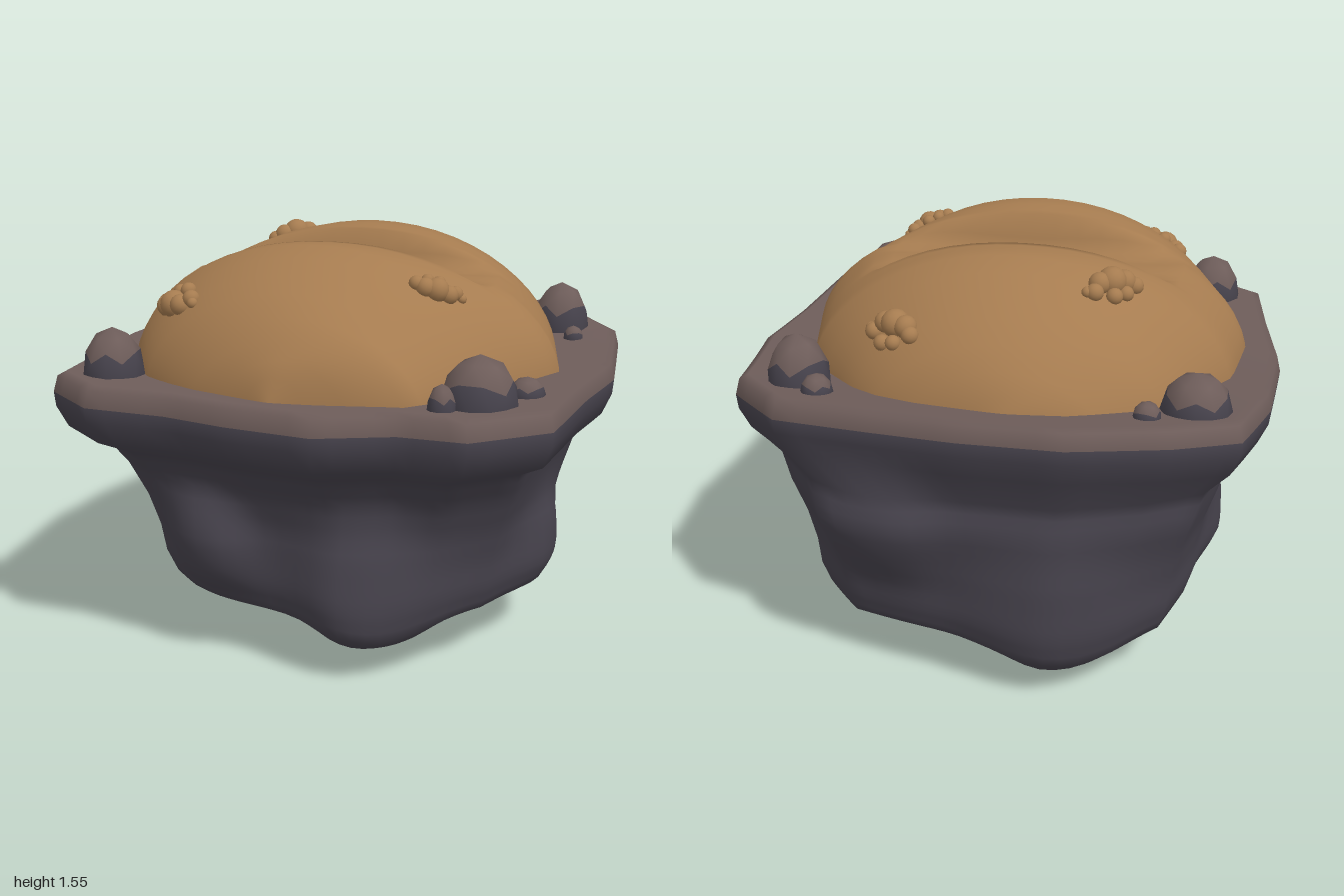
import * as THREE from 'three';
import { mergeVertices } from 'three/addons/utils/BufferGeometryUtils.js';

const mat = (name, color, extra = {}) => new THREE.MeshStandardMaterial({ name, color, ...extra });

// Build an indexed surface with smooth normals
function surface(points, index) {
  const g = new THREE.BufferGeometry();
  g.setAttribute('position', new THREE.Float32BufferAttribute(points, 3));
  g.setIndex(index);
  g.computeVertexNormals();
  return g;
}

// Linear lookup in a list of [key, value] pairs
function lookup(table, k) {
  for (let i = 1; i < table.length; i++) {
    const [k0, v0] = table[i - 1], [k1, v1] = table[i];
    if (k <= k1) return v0 + (v1 - v0) * Math.max(0, (k - k0) / (k1 - k0));
  }
  return table[table.length - 1][1];
}

// Insert evenly spaced steps between neighbouring entries
const steps = (a, b, n) => Array.from({ length: n }, (_, k) => a.map((v, i) => v + (b[i] - v) * k / n));

// Rim outline seen from above, [x, z]
const OUTLINE = [
  [-1, 0], [-0.96, -0.4], [-0.86, -0.75], [-0.63, -0.87], [-0.29, -0.975], [0.07, -0.96], [0.37, -0.91],
  [0.73, -0.84], [0.95, -0.59], [1, -0.12], [0.95, 0.2], [0.91, 0.65], [0.67, 0.86], [0.43, 0.86],
  [0.17, 0.97], [-0.15, 0.935], [-0.4, 0.88], [-0.71, 0.87], [-0.93, 0.7], [-0.96, 0.35],
];
// Rim levels, then the rock below: [y, outline scale, roundness, z shift]
const RIM = [[1.07, 0.5, 0, 0], [1.09, 0.955, 0, 0], [1.075, 0.985, 0, 0]];
const ROCK = [
  [1.015, 1, 0, 0], [0.96, 0.995, 0, 0], [0.88, 0.96, 0, 0], [0.82, 0.87, 0.1, -0.02], [0.7, 0.83, 0.2, -0.07],
  [0.56, 0.785, 0.3, -0.08], [0.43, 0.765, 0.45, -0.08], [0.32, 0.76, 0.55, -0.08], [0.23, 0.735, 0.65, -0.08],
  [0.175, 0.6, 0.8, -0.07], [0.13, 0.42, 0.9, -0.07], [0.09, 0.22, 1, -0.07], [0.07, 0.001, 1, -0.07],
];
// Bulges in the rock: centre, push, radius
const BULGES = [
  [-0.37, 0.46, 0.64, 0, 0, 0.13, 0.19], [0.25, 0.35, 0.6, 0, 0, 0.09, 0.25],
  [0.74, 0.36, 0, 0.07, 0, 0, 0.2], [-0.74, 0.36, 0.08, -0.07, 0, 0, 0.2],
  [0.42, 0.68, -0.82, 0, 0, -0.09, 0.24], [-0.25, 0.35, -0.78, 0, 0, -0.07, 0.28],
  [-0.22, 0.15, -0.5, 0, -0.155, 0, 0.3], [0.24, 0.15, 0.42, 0, -0.08, 0.05, 0.24],
];

function rockGeometry() {
  const ring = OUTLINE.flatMap((p, i) => steps(p, OUTLINE[(i + 1) % OUTLINE.length], 4));
  const fine = ROCK.slice(1).flatMap((level, i) => steps(ROCK[i], level, i < 3 ? 1 : 3));
  const levels = [...RIM, ...fine, ROCK[ROCK.length - 1]];
  const n = ring.length, pts = [], index = [];
  levels.forEach(([y, s, round, dz]) => ring.forEach(([x, z]) => {
    // the front corners are rounder than the back ones
    const k = s * (1 + round * (0.75 + 0.4 * z) * (0.98 / Math.hypot(x, z) - 1));
    const p = [x * k, y, z * k + dz];
    if (y > 0.85) p[1] += 0.09 * Math.max(0, -p[2]) ** 2;
    const q = [...p];
    if (y < 0.85) for (const [bx, by, bz, px, py, pz, r] of BULGES) {
      const d = Math.hypot(p[0] - bx, p[1] - by, p[2] - bz) / r;
      const w = Math.exp(-(d ** 3));
      q[0] += px * w; q[1] += py * w; q[2] += pz * w;
    }
    pts.push(q[0], Math.max(0, q[1]), q[2]);
  }));
  for (let i = 0; i < levels.length - 1; i++) for (let j = 0; j < n; j++) {
    const a = i * n + j, b = i * n + (j + 1) % n;
    index.push(a, b, a + n, b, b + n, a + n);
  }
  const g = surface(pts, index);
  const split = RIM.length * n * 6;
  g.addGroup(0, split, 0);
  g.addGroup(split, index.length - split, 1);
  return g;
}

// Left and right edges of the soil mound, [z, x]
const SOIL_LEFT = [[-0.84, -0.05], [-0.8, -0.33], [-0.66, -0.58], [-0.27, -0.82], [0.07, -0.87],
  [0.4, -0.75], [0.6, -0.62], [0.75, -0.38], [0.85, -0.03]];
const SOIL_RIGHT = [[-0.84, -0.05], [-0.74, 0.37], [-0.64, 0.5], [-0.36, 0.73], [0.1, 0.83],
  [0.48, 0.63], [0.76, 0.43], [0.85, -0.03]];

// Domed soil: two humps with a furrow along x between them
function soilHeight(s, z) {
  const w = Math.min(1, Math.abs((z - 0.005) / 0.845));
  const t = Math.min(1, Math.sqrt(w * w + (1 - w * w) * s * s));
  const hump = 0.035 * Math.exp(-(((Math.abs(z) - 0.37) / 0.13) ** 2)) * (1 - s * s);
  const y = 1.06 + 0.475 * Math.pow(1 - Math.pow(t, 3), 0.6) + hump - 0.14 * s * s * (1 - s * s) * (1 - w);
  const furrow = 1 - THREE.MathUtils.smoothstep(Math.abs(z), 0.14 - 0.1 * s * s, 0.185);
  return y + (Math.min(y, 1.4 - 0.9 * z * z) - y) * furrow;
}

function soilAt(x, z) {
  const l = lookup(SOIL_LEFT, z), r = lookup(SOIL_RIGHT, z);
  return soilHeight((2 * x - l - r) / (r - l), z);
}

function soilGeometry() {
  const half = [0.05, 0.1, 0.14, 0.16, 0.185, 0.22, 0.28, 0.36, 0.45, 0.54, 0.62, 0.7, 0.76, 0.8, 0.825];
  const rows = [-0.84, ...half.map(v => -v).reverse(), 0, ...half, 0.85];
  const cols = 28, pts = [], index = [];
  rows.forEach(z => {
    const l = lookup(SOIL_LEFT, z), r = lookup(SOIL_RIGHT, z);
    for (let j = 0; j <= cols; j++) {
      const s = Math.sin((j / cols - 0.5) * Math.PI);
      pts.push((l + r) / 2 + s * (r - l) / 2, soilHeight(s, z), z);
    }
  });
  for (let i = 0; i < rows.length - 1; i++) for (let j = 0; j < cols; j++) {
    const a = i * (cols + 1) + j, c = a + cols + 1;
    index.push(a, c, a + 1, a + 1, c, c + 1);
  }
  return surface(pts, index);
}

// Boulder with its top faces in one group and its sides in another
function boulderGeometry() {
  let g = new THREE.IcosahedronGeometry(1, 1);
  g.deleteAttribute('normal');
  g.deleteAttribute('uv');
  g = mergeVertices(g, 1e-3);
  const p = g.attributes.position, idx = g.index.array, top = [], side = [];
  for (let i = 0; i < idx.length; i += 3) {
    const f = [idx[i], idx[i + 1], idx[i + 2]];
    const y = f.reduce((sum, v) => sum + p.getY(v), 0) / 3;
    (y > 0.45 ? top : side).push(...f);
  }
  g.setIndex([...top, ...side]);
  g.addGroup(0, top.length, 0);
  g.addGroup(top.length, side.length, 1);
  g.computeVertexNormals();
  return g;
}

export function createModel() {
  const model = new THREE.Group();
  model.name = 'soilPlot';
  const stoneTop = mat('warmStone', 0x6e5d5a);
  const rock = mat('darkRock', 0x47434d);
  const soil = mat('soil', 0xa67c50, { side: THREE.DoubleSide });
  const add = (parent, name, geometry, material) => {
    const m = new THREE.Mesh(geometry, material);
    m.name = name;
    parent.add(m);
    return m;
  };

  add(model, 'rockBase', rockGeometry(), [stoneTop, rock]);
  add(model, 'soilMound', soilGeometry(), soil);

  // Boulders on the rim corners: x, z, radius, height above the rim
  const boulders = new THREE.Group();
  boulders.name = 'boulders';
  model.add(boulders);
  const boulder = boulderGeometry();
  [[-0.7, -0.64, 0.125, 0.14], [-0.54, -0.75, 0.05, 0.06], [0.71, -0.58, 0.115, 0.18], [0.61, -0.7, 0.058, 0.07],
    [0.79, -0.42, 0.04, 0.05], [-0.72, 0.62, 0.115, 0.17], [0.65, 0.62, 0.135, 0.17], [0.78, 0.46, 0.065, 0.065],
    [0.55, 0.74, 0.05, 0.09]].forEach(([x, z, r, h], i) => {
    const m = add(boulders, 'boulder' + (i + 1), boulder, [stoneTop, rock]);
    m.position.set(x, 1.085 + 0.09 * Math.max(0, -z) ** 2, z);
    m.scale.set(r, h, r);
    m.rotation.y = i * 1.3;
  });

  // Clumps of soil crumbs: centre x, z, angle of the long axis, size
  const crumb = new THREE.IcosahedronGeometry(1, 2);
  const crumbs = [[0, 0.015, 0.052], [0.05, 0.015, 0.04], [-0.05, 0.015, 0.042], [0.085, -0.01, 0.032],
    [-0.085, 0, 0.032], [0.02, -0.035, 0.03], [-0.03, -0.03, 0.028], [0.11, 0, 0.02]];
  [[-0.39, -0.4, -0.65, 1], [0.36, -0.58, 0.58, 1], [0.43, 0.38, -0.5, 0.85], [-0.51, 0.5, 0.65, 1]]
    .forEach(([cx, cz, angle, size], i) => {
      const clump = new THREE.Group();
      clump.name = 'soilClump' + (i + 1);
      model.add(clump);
      const c = Math.cos(angle) * size, s = Math.sin(angle) * size;
      crumbs.forEach(([u, v, r], k) => {
        const x = cx + u * c - v * s, z = cz + u * s + v * c;
        const m = add(clump, 'crumb' + (k + 1), crumb, soil);
        m.position.set(x, soilAt(x, z) + r * 0.25, z);
        m.scale.setScalar(r * size);
      });
    });
  return model;
}
